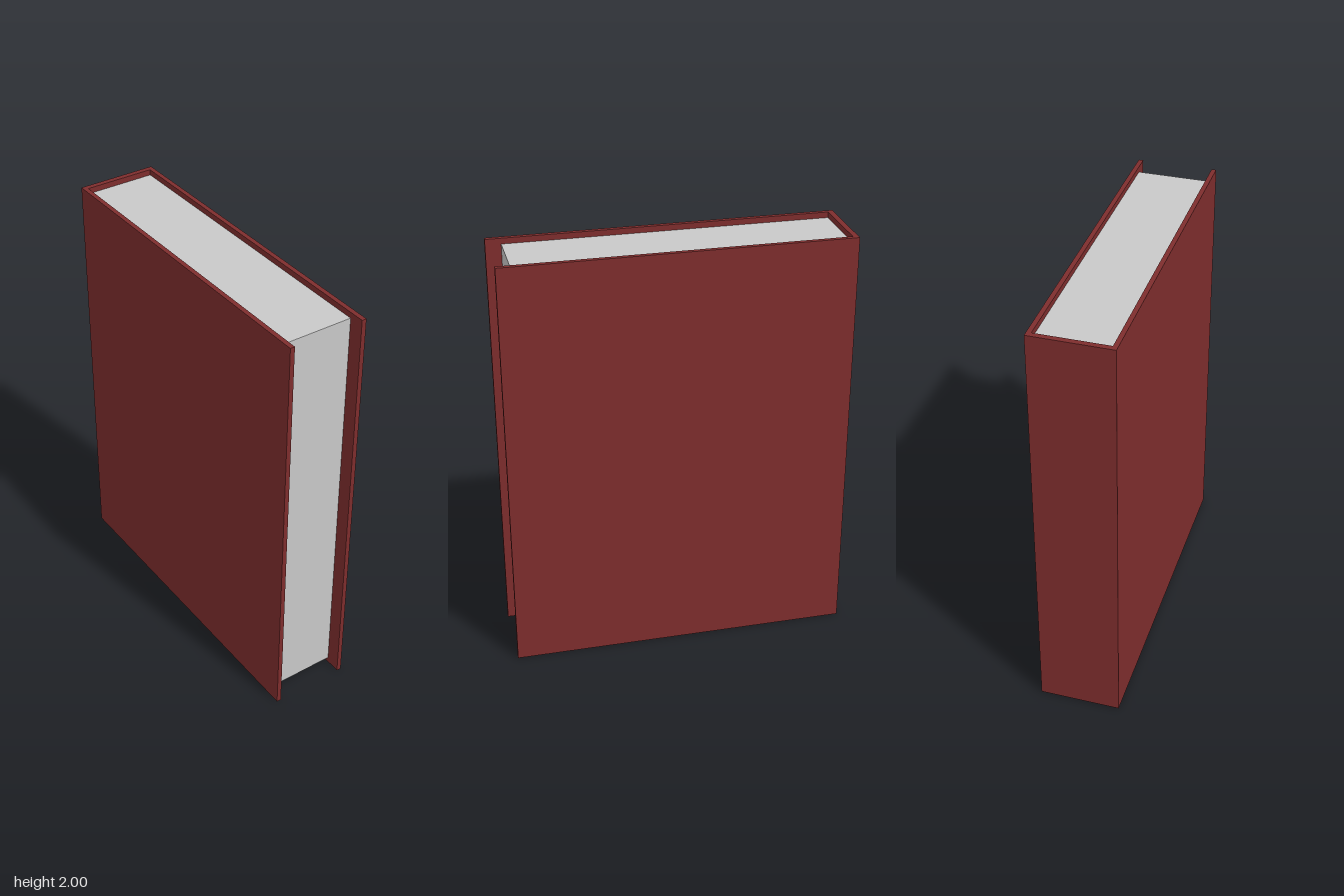
import * as THREE from 'three';

const W = 0.38, H = 2, D = 1.614;    // overall size of the closed book
const BOARD = 0.022, SPINE = 0.026;  // cover thicknesses
const MARGIN = 0.027;                // cover overhang at head and foot
const FORE_EDGE = 0.735;             // z of the front edge of the pages

export function createModel() {
  const book = new THREE.Group();
  book.name = 'book';

  const coverRed = new THREE.MeshStandardMaterial({ color: 0x7e2d2d });
  coverRed.name = 'coverRed';
  const pageGrey = new THREE.MeshStandardMaterial({ color: 0xc8c8c8 });
  pageGrey.name = 'pageGrey';

  const addBox = (name, material, size, position) => {
    const mesh = new THREE.Mesh(new THREE.BoxGeometry(...size), material);
    mesh.name = name;
    mesh.position.set(...position);
    book.add(mesh);
  };

  // Two cover boards, mirrored about the page block
  for (const [name, side] of [['leftCover', 1], ['rightCover', -1]]) {
    addBox(name, coverRed, [BOARD, H, D], [side * (W - BOARD) / 2, H / 2, 0]);
  }

  // Flat spine joining the boards at the back
  const innerWidth = W - 2 * BOARD;
  addBox('spine', coverRed, [innerWidth, H, SPINE], [0, H / 2, (SPINE - D) / 2]);

  // Page block, set in from the edges of the cover
  const pagesBack = SPINE - D / 2;
  addBox('pages', pageGrey,
    [innerWidth, H - 2 * MARGIN, FORE_EDGE - pagesBack],
    [0, H / 2, (FORE_EDGE + pagesBack) / 2]);

  return book;
}
